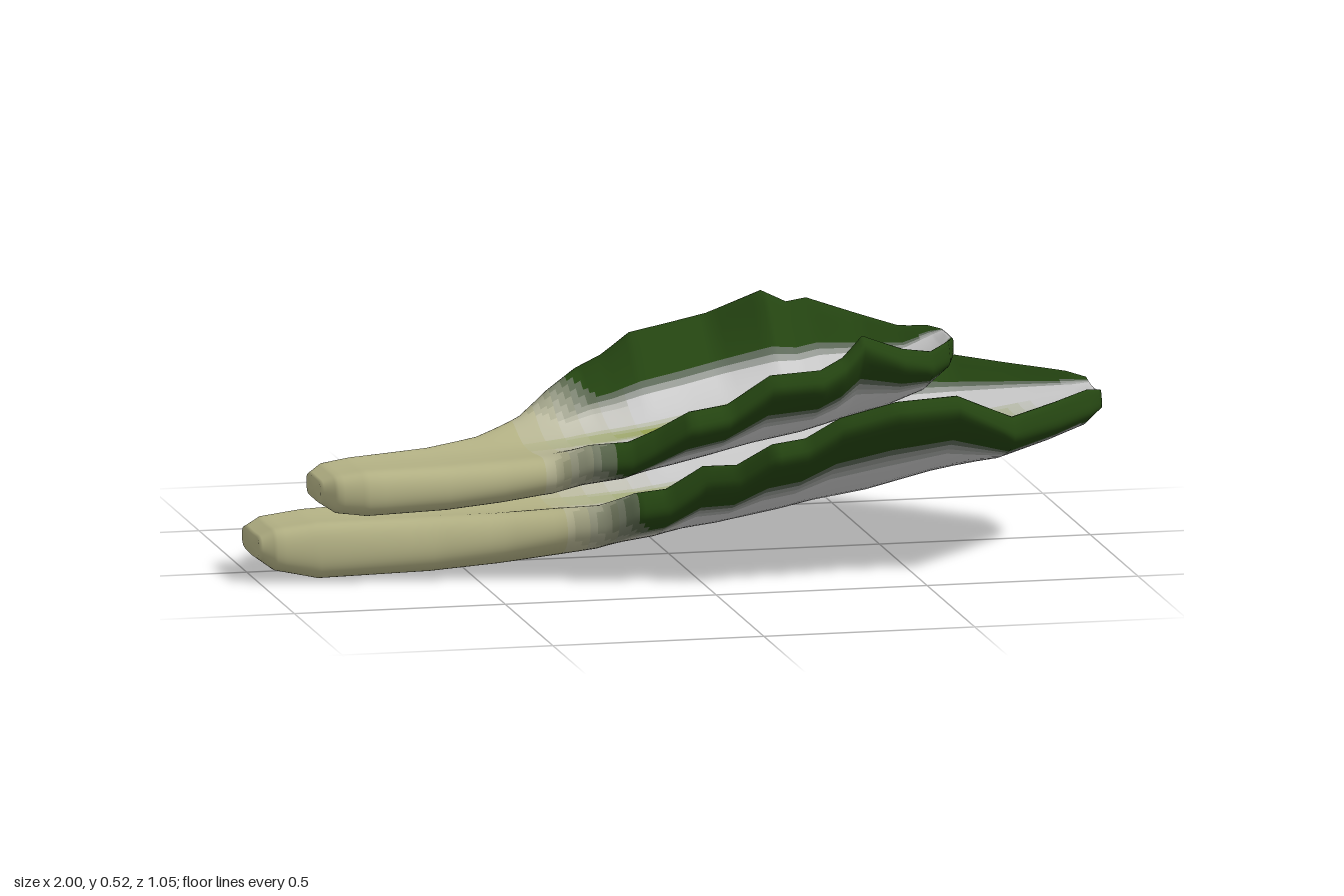
import * as THREE from 'three';

const STALK = new THREE.Color(0xb4b285);
const BLADE = new THREE.Color(0xcccccc);
const RIB = new THREE.Color(0x98a452);
const RIM = new THREE.Color(0x244411);
const AROUND = 88; // points round each cross-section
const SUB = 5;     // rings between stations
const LEVELS = 6;  // shades in each colour blend

// Stations: x, back edge z, front edge z, middle height, back edge height,
// front edge height, half thickness
const LOWER = [
  [-1.00, -0.05, 0.13, 0.076, 0.081, 0.081, 0.025],
  [-0.96, -0.07, 0.155, 0.072, 0.078, 0.078, 0.050],
  [-0.86, -0.085, 0.17, 0.066, 0.076, 0.076, 0.066],
  [-0.60, -0.115, 0.20, 0.069, 0.090, 0.090, 0.064],
  [-0.44, -0.15, 0.23, 0.076, 0.105, 0.105, 0.059],
  [-0.30, -0.19, 0.27, 0.085, 0.125, 0.130, 0.054],
  [-0.22, -0.22, 0.31, 0.091, 0.145, 0.145, 0.049],
  [-0.15, -0.26, 0.36, 0.098, 0.175, 0.190, 0.045],
  [-0.08, -0.28, 0.37, 0.105, 0.195, 0.200, 0.042],
  [0.00, -0.30, 0.39, 0.116, 0.240, 0.260, 0.040],
  [0.07, -0.33, 0.44, 0.126, 0.260, 0.270, 0.038],
  [0.14, -0.36, 0.495, 0.137, 0.305, 0.330, 0.037],
  [0.22, -0.38, 0.49, 0.150, 0.335, 0.340, 0.036],
  [0.30, -0.40, 0.50, 0.164, 0.380, 0.390, 0.035],
  [0.43, -0.415, 0.515, 0.185, 0.410, 0.425, 0.036],
  [0.58, -0.405, 0.485, 0.222, 0.410, 0.425, 0.036],
  [0.72, -0.37, 0.45, 0.252, 0.355, 0.353, 0.036],
  [0.86, -0.22, 0.29, 0.282, 0.350, 0.350, 0.036],
  [0.96, -0.10, 0.17, 0.306, 0.352, 0.352, 0.034],
  [1.00, -0.06, 0.12, 0.332, 0.345, 0.345, 0.022],
];
const UPPER = [
  [-0.845, -0.06, 0.09, 0.195, 0.195, 0.195, 0.025],
  [-0.81, -0.09, 0.13, 0.192, 0.195, 0.195, 0.045],
  [-0.74, -0.10, 0.15, 0.190, 0.200, 0.200, 0.054],
  [-0.55, -0.15, 0.15, 0.192, 0.210, 0.205, 0.053],
  [-0.42, -0.20, 0.15, 0.198, 0.230, 0.215, 0.050],
  [-0.30, -0.26, 0.155, 0.206, 0.275, 0.230, 0.046],
  [-0.22, -0.32, 0.19, 0.212, 0.325, 0.270, 0.043],
  [-0.13, -0.425, 0.20, 0.220, 0.350, 0.275, 0.040],
  [-0.07, -0.425, 0.215, 0.227, 0.380, 0.310, 0.038],
  [0.00, -0.43, 0.245, 0.235, 0.432, 0.360, 0.037],
  [0.10, -0.475, 0.20, 0.250, 0.440, 0.365, 0.035],
  [0.20, -0.515, 0.205, 0.267, 0.450, 0.435, 0.035],
  [0.32, -0.465, 0.205, 0.287, 0.512, 0.440, 0.035],
  [0.38, -0.47, 0.175, 0.297, 0.480, 0.465, 0.034],
  [0.43, -0.48, 0.15, 0.306, 0.485, 0.512, 0.034],
  [0.54, -0.43, 0.09, 0.330, 0.450, 0.460, 0.033],
  [0.62, -0.36, 0.03, 0.356, 0.430, 0.435, 0.031],
  [0.68, -0.32, -0.06, 0.398, 0.430, 0.435, 0.029],
  [0.705, -0.27, -0.13, 0.430, 0.428, 0.428, 0.020],
];

const ramp = (v, a, b) => THREE.MathUtils.clamp((v - a) / (b - a), 0, 1);
const shade = (v, a, b) => Math.round(LEVELS * ramp(v, a, b));

// One closed, cupped leaf, split into coloured patches sharing smooth normals
function makeLeaf(name, stations, { axis, fadeX, ribEnd, tipX }) {
  const group = new THREE.Group();
  group.name = name;
  const rings = [];
  for (let i = 0; i < stations.length - 1; i++) {
    for (let k = 0; k < SUB; k++) {
      rings.push(stations[i].map((v, c) => THREE.MathUtils.lerp(v, stations[i + 1][c], k / SUB)));
    }
  }
  rings.push(stations[stations.length - 1]);
  const axisZ = (x) => axis[0] + axis[1] * x;

  // Cross-sections: a bowed middle surface thickened along its normal,
  // round-sided at the stalk and blunt-edged at the blade
  const pos = [];
  for (const [x, zb, zf, ym, yb, yf, h] of rings) {
    const blunt = ramp(x, fadeX, fadeX + 0.3);
    for (let j = 0; j < AROUND; j++) {
      const a = (j / AROUND) * Math.PI * 2;
      const t = Math.cos(a), r = Math.abs(t);
      const width = t > 0 ? zf - axisZ(x) : axisZ(x) - zb;
      const lift = (t > 0 ? yf : yb) - ym;
      const slope = Math.sign(t) * 2 * lift * r / width;
      const cap = Math.max(0, 1 - r ** (8 + 16 * blunt)) ** (0.5 - 0.15 * blunt);
      const off = h * cap * Math.sign(Math.sin(a)) / Math.hypot(1, slope);
      pos.push(x, ym + lift * r * r + off, axisZ(x) + t * width - off * slope);
    }
  }
  const last = (rings.length - 1) * AROUND;
  const ends = [rings[0], rings[rings.length - 1]].map(([x, , , ym]) => {
    pos.push(x, ym, axisZ(x));
    return pos.length / 3 - 1;
  });

  // Sort the faces by colour: stalk to blade, blade to rim, and midrib
  const patches = new Map();
  const addFaces = (x, j, ...corners) => {
    const a = ((j + 0.5) / AROUND) * Math.PI * 2;
    const r = Math.abs(Math.cos(a));
    const fade = shade(x, fadeX - 0.04, fadeX + 0.3);
    const inner = x > tipX ? 0.52 : Math.sin(a) < 0 ? 0.62 : 0.47;
    const start = fadeX + 0.2 * (1 - r);
    const rim = Math.min(shade(r, inner, inner + 0.2), shade(x, start, start + 0.16));
    const rib = rim ? 0 : Math.min(shade(r, 0.24, 0.06), shade(x, ribEnd, ribEnd - 0.15), fade);
    const key = `${fade}-${rim}-${rib}`;
    if (!patches.has(key)) patches.set(key, { fade, rim, rib, index: [] });
    patches.get(key).index.push(...corners);
  };
  for (let i = 0; i < rings.length - 1; i++) {
    for (let j = 0; j < AROUND; j++) {
      const a = i * AROUND + j, b = i * AROUND + (j + 1) % AROUND;
      const c = a + AROUND, d = b + AROUND;
      addFaces((rings[i][0] + rings[i + 1][0]) / 2, j, a, c, b, b, c, d);
    }
  }
  for (let j = 0; j < AROUND; j++) {
    const n = (j + 1) % AROUND;
    addFaces(rings[0][0], j, ends[0], j, n);
    addFaces(rings[rings.length - 1][0], j, ends[1], last + n, last + j);
  }

  const whole = new THREE.BufferGeometry();
  whole.setAttribute('position', new THREE.Float32BufferAttribute(pos, 3));
  whole.setIndex([...patches.values()].flatMap((p) => p.index));
  whole.computeVertexNormals();

  for (const { fade, rim, rib, index } of patches.values()) {
    const geometry = new THREE.BufferGeometry();
    geometry.setAttribute('position', whole.attributes.position);
    geometry.setAttribute('normal', whole.attributes.normal);
    geometry.setIndex(index);
    const color = STALK.clone().lerp(BLADE, fade / LEVELS).lerp(RIB, rib / LEVELS).lerp(RIM, rim / LEVELS);
    const mesh = new THREE.Mesh(geometry, new THREE.MeshStandardMaterial({ color }));
    mesh.name = rim ? 'leafRim' : rib ? 'midrib' : fade ? 'leafBlade' : 'stalk';
    group.add(mesh);
  }
  return group;
}

export function createModel() {
  const model = new THREE.Group();
  model.name = 'leafPair';
  model.add(makeLeaf('lowerLeaf', LOWER, { axis: [0.04, 0], fadeX: -0.3, ribEnd: 0.87, tipX: 0.94 }));
  model.add(makeLeaf('upperLeaf', UPPER, { axis: [-0.1, -0.14], fadeX: -0.32, ribEnd: 0.64, tipX: 0.66 }));
  return model;
}
